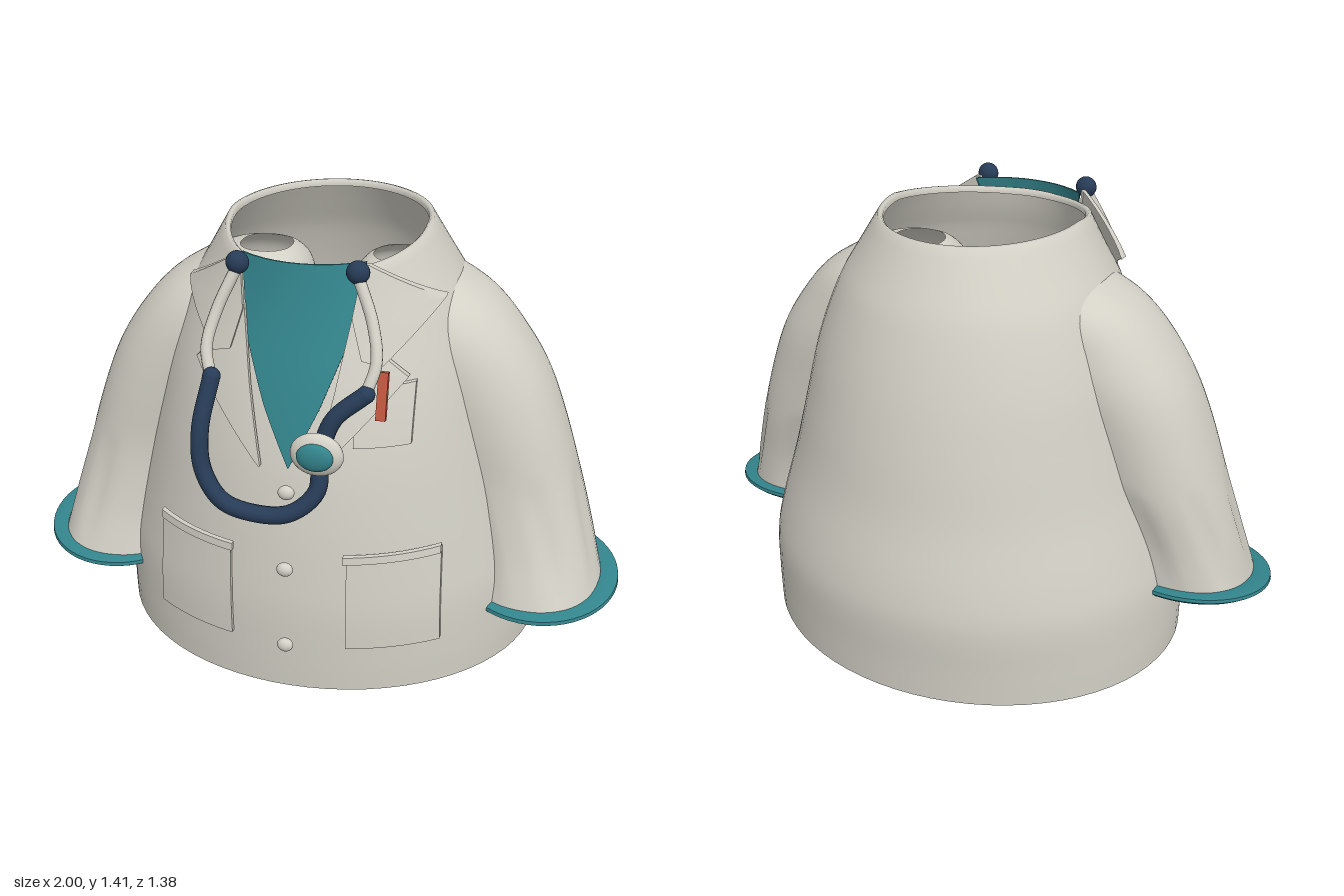
import * as THREE from 'three';
import { toCreasedNormals } from 'three/addons/utils/BufferGeometryUtils.js';

const V = (x, y, z) => new THREE.Vector3(x, y, z);

function material(name, color) {
  const m = new THREE.MeshStandardMaterial({ color, side: THREE.DoubleSide });
  m.name = name;
  return m;
}

// Smooth lookup in rows of [y, a, b, ...]
function sample(keys, y) {
  const n = keys.length;
  let i = 0;
  while (i < n - 2 && y > keys[i + 1][0]) i++;
  const A = keys[i], B = keys[i + 1], P = keys[Math.max(i - 1, 0)], N = keys[Math.min(i + 2, n - 1)];
  const h = B[0] - A[0], t = THREE.MathUtils.clamp((y - A[0]) / h, 0, 1), t2 = t * t, t3 = t2 * t;
  return A.slice(1).map((a, k) => {
    const b = B[k + 1];
    const m0 = (b - P[k + 1]) / (B[0] - P[0]) * h, m1 = (N[k + 1] - a) / (N[0] - A[0]) * h;
    return (2 * t3 - 3 * t2 + 1) * a + (t3 - 2 * t2 + t) * m0 + (3 * t2 - 2 * t3) * b + (t3 - t2) * m1;
  });
}

// Grid of points to geometry; wrap closes each row into a ring
function grid(rows, wrap, flip) {
  const n = rows[0].length, pos = [], idx = [];
  rows.forEach(r => r.forEach(p => pos.push(p.x, p.y, p.z)));
  for (let i = 0; i < rows.length - 1; i++) {
    for (let j = 0; j < (wrap ? n : n - 1); j++) {
      const a = i * n + j, b = i * n + (j + 1) % n, c = a + n, d = b + n;
      if (flip) idx.push(a, b, c, b, d, c);
      else idx.push(a, c, b, b, c, d);
    }
  }
  const g = new THREE.BufferGeometry();
  g.setAttribute('position', new THREE.Float32BufferAttribute(pos, 3));
  g.setIndex(idx);
  g.computeVertexNormals();
  return g;
}

const ring = (n, f) => Array.from({ length: n }, (_, j) => f(j / n * Math.PI * 2));

// Coat section by height: half width, front z, back z
const BODY = [
  [0, 0.72, 0.57, -0.67], [0.1, 0.72, 0.575, -0.675], [0.28, 0.708, 0.58, -0.685], [0.4, 0.68, 0.575, -0.67],
  [0.6, 0.625, 0.56, -0.625], [0.8, 0.575, 0.535, -0.59], [1.0, 0.523, 0.49, -0.545], [1.2, 0.445, 0.43, -0.48],
  [1.3, 0.388, 0.405, -0.43], [1.41, 0.325, 0.385, -0.37],
];

// Front surface of the coat, pushed out by o
function frontZ(x, y, o) {
  const [w, f, b] = sample(BODY, y);
  return (f + b) / 2 + ((f - b) / 2 + o) * Math.sqrt(Math.max(0, 1 - (x / (w + o)) ** 2));
}

function bodyGeometry() {
  const section = (y, inset, drop) => {
    const [w, f, b] = sample(BODY, y);
    return ring(72, t => {
      const x = (w - inset) * Math.cos(t), z = (f + b) / 2 + ((f - b) / 2 - inset) * Math.sin(t);
      const dip = 0.055 * Math.min(1, Math.max(0, z / 0.36)) * Math.max(0, (y - 1.2) / 0.21);
      return V(x, y - dip - drop, z);
    });
  };
  const rows = [];
  for (let i = 0; i <= 47; i++) rows.push(section(1.41 * i / 47, 0, 0));
  rows.push(section(1.41, 0.01, -0.002), section(1.41, 0.018, 0.006), section(1.41, 0.018, 0.02));
  return grid(rows, true);
}

// Sleeve section by height: inner x, outer x, centre z, half depth
const SLEEVE = [
  [0.25, 0.5, 0.94, 0.07, 0.238], [0.4, 0.45, 0.9, 0.04, 0.222], [0.6, 0.38, 0.84, 0.01, 0.222],
  [0.8, 0.28, 0.775, 0, 0.232], [0.95, 0.17, 0.712, -0.007, 0.24], [1.08, 0.09, 0.627, -0.01, 0.236],
  [1.17, 0.065, 0.545, -0.02, 0.218], [1.23, 0.08, 0.455, -0.03, 0.182], [1.268, 0.11, 0.37, -0.03, 0.13],
  [1.285, 0.135, 0.305, -0.03, 0.085],
];

function sleeveGeometry(s) {
  const rows = [];
  for (let i = 0; i <= 48; i++) {
    const y = 0.25 + 1.035 * Math.sin(i / 48 * Math.PI / 2);
    const [x0, x1, cz, d] = sample(SLEEVE, y);
    const low = Math.max(0, 1 - (y - 0.25) / 0.4);
    rows.push(ring(56, t => {
      // soft folds toward the cuff
      const k = 1 - 0.045 * low * (1 - low) * 4 * Math.max(0, Math.sin(7 * t));
      const c = Math.cos(t), e = Math.sin(t);
      const x = (x0 + x1) / 2 + (x1 - x0) / 2 * k * Math.sign(c) * Math.abs(c) ** 0.9;
      const z = cz + d * k * Math.sign(e) * Math.abs(e) ** 0.9;
      return V(s * x, y - (z - 0.07) * 0.14 * low, z);
    }));
  }
  return grid(rows, true, s < 0);
}

function cuffGeometry(s) {
  const profile = [[0.255, -0.018], [0.27, -0.006], [0.268, 0.006], [0.24, 0.015], [0.21, 0.012], [0.225, -0.015], [0.255, -0.018]];
  const rows = profile.map(([r, h]) => ring(56, t => {
    const z = r * Math.sin(t);
    return V(s * (0.73 + r * Math.cos(t)), 0.245 + h - z * 0.14, 0.07 + z);
  }));
  return toCreasedNormals(grid(rows, true, s < 0), 0.7);
}

// Cloth panel over the coat front between two edge lines of [x, y], with its rim turned in
function panel(left, right, offset, s = 1) {
  if (s < 0) [left, right] = [right, left].map(l => l.map(([x, y]) => [-x, y]));
  const seg = 8, nr = (left.length - 1) * seg, nc = 10, rows = [], rim = Math.max(0.002, offset - 0.016);
  const at = (l, t) => {
    const i = Math.min(Math.floor(t), l.length - 2), f = t - i;
    return [0, 1].map(k => l[i][k] + (l[i + 1][k] - l[i][k]) * f);
  };
  for (let i = -1; i <= nr + 1; i++) {
    const ii = THREE.MathUtils.clamp(i, 0, nr), L = at(left, ii / seg), R = at(right, ii / seg), row = [];
    for (let j = -1; j <= nc + 1; j++) {
      const jj = THREE.MathUtils.clamp(j, 0, nc), u = jj / nc;
      const x = L[0] + (R[0] - L[0]) * u, y = L[1] + (R[1] - L[1]) * u;
      row.push(V(x, y, frontZ(x, y, ii === i && jj === j ? offset : rim)));
    }
    rows.push(row);
  }
  return toCreasedNormals(grid(rows, false), 0.7);
}

export function createModel() {
  const group = new THREE.Group();
  group.name = 'coat';
  const cloth = material('offWhite', 0xd3d1c6);
  const teal = material('teal', 0x33848c);
  const navy = material('navy', 0x273c57);
  const coral = material('coral', 0xbf5740);
  const add = (name, geometry, mat, x = 0, y = 0, z = 0) => {
    const m = new THREE.Mesh(geometry, mat);
    m.name = name;
    m.position.set(x, y, z);
    group.add(m);
    return m;
  };
  const ball = (name, mat, p, rx, ry, rz) =>
    add(name, new THREE.SphereGeometry(1, 24, 16), mat, ...p).scale.set(rx, ry, rz);
  const tube = (name, mat, pts, r) =>
    add(name, new THREE.TubeGeometry(new THREE.CatmullRomCurve3(pts.map(p => V(...p))), 64, r, 12), mat);

  add('coatBody', bodyGeometry(), cloth);

  // Shirt showing in the neckline
  const edge = [[0.188, 1.385], [0.155, 1.16], [0.085, 0.97], [0.002, 0.79]];
  add('shirt', panel(edge.map(([x, y]) => [-x, y]), edge, 0.008), teal);

  for (const s of [1, -1]) {
    const side = s > 0 ? 'left' : 'right';
    add(side + 'Sleeve', sleeveGeometry(s), cloth);
    add(side + 'Cuff', cuffGeometry(s), teal);
    add(side + 'Collar', panel([[0.185, 1.385], [0.165, 1.24], [0.2, 1.12]], [[0.2, 1.385], [0.405, 1.245], [0.26, 1.1]], 0.036, s), cloth);
    add(side + 'Lapel', panel([[0.165, 1.25], [0.13, 1.03], [0.085, 0.79]], [[0.24, 1.14], [0.33, 1.055], [0.092, 0.79]], 0.024, s), cloth);
    add(side + 'Pocket', panel([[0.185, 0.5], [0.185, 0.18]], [[0.455, 0.5], [0.465, 0.18]], 0.018, s), cloth);
    add(side + 'PocketFlap', panel([[0.175, 0.517], [0.175, 0.492]], [[0.455, 0.517], [0.455, 0.492]], 0.03, s), cloth);

    // Stethoscope ear tubes
    ball(side + 'Earpiece', navy, [s * 0.18, 1.38, 0.412], 0.035, 0.035, 0.03);
    tube(side + 'EarTube', cloth, [[s * 0.18, 1.37, 0.412], [s * 0.235, 1.24, 0.455], [s * 0.255, 1.14, 0.5], [s * 0.23, 1.05, 0.54]], 0.018);
  }

  // Chest pocket with pen
  add('chestPocket', panel([[0.19, 1.035], [0.19, 0.86]], [[0.35, 1.035], [0.35, 0.855]], 0.016), cloth);
  add('pen', new THREE.BoxGeometry(0.03, 0.145, 0.022), coral, 0.27, 1.028, 0.475).rotation.x = -0.25;

  // Buttons
  for (const [y, z] of [[0.72, 0.57], [0.465, 0.6], [0.19, 0.61]])
    ball('button', cloth, [0, y, z], 0.026, 0.023, 0.018);

  // Stethoscope hose and chest piece
  tube('hose', navy, [
    [-0.228, 1.07, 0.545], [-0.25, 0.92, 0.605], [-0.24, 0.8, 0.625], [-0.18, 0.71, 0.64], [-0.08, 0.68, 0.642],
    [0.03, 0.692, 0.638], [0.105, 0.76, 0.61], [0.11, 0.87, 0.58], [0.145, 0.98, 0.565], [0.235, 1.06, 0.54],
  ], 0.027);
  for (const p of [[-0.228, 1.07, 0.545], [0.235, 1.06, 0.54]]) ball('hoseEnd', navy, p, 0.027, 0.027, 0.027);
  ball('chestPiece', cloth, [0.115, 0.905, 0.645], 0.08, 0.068, 0.032);
  ball('chestPieceCap', teal, [0.115, 0.907, 0.67], 0.055, 0.044, 0.02);
  return group;
}
